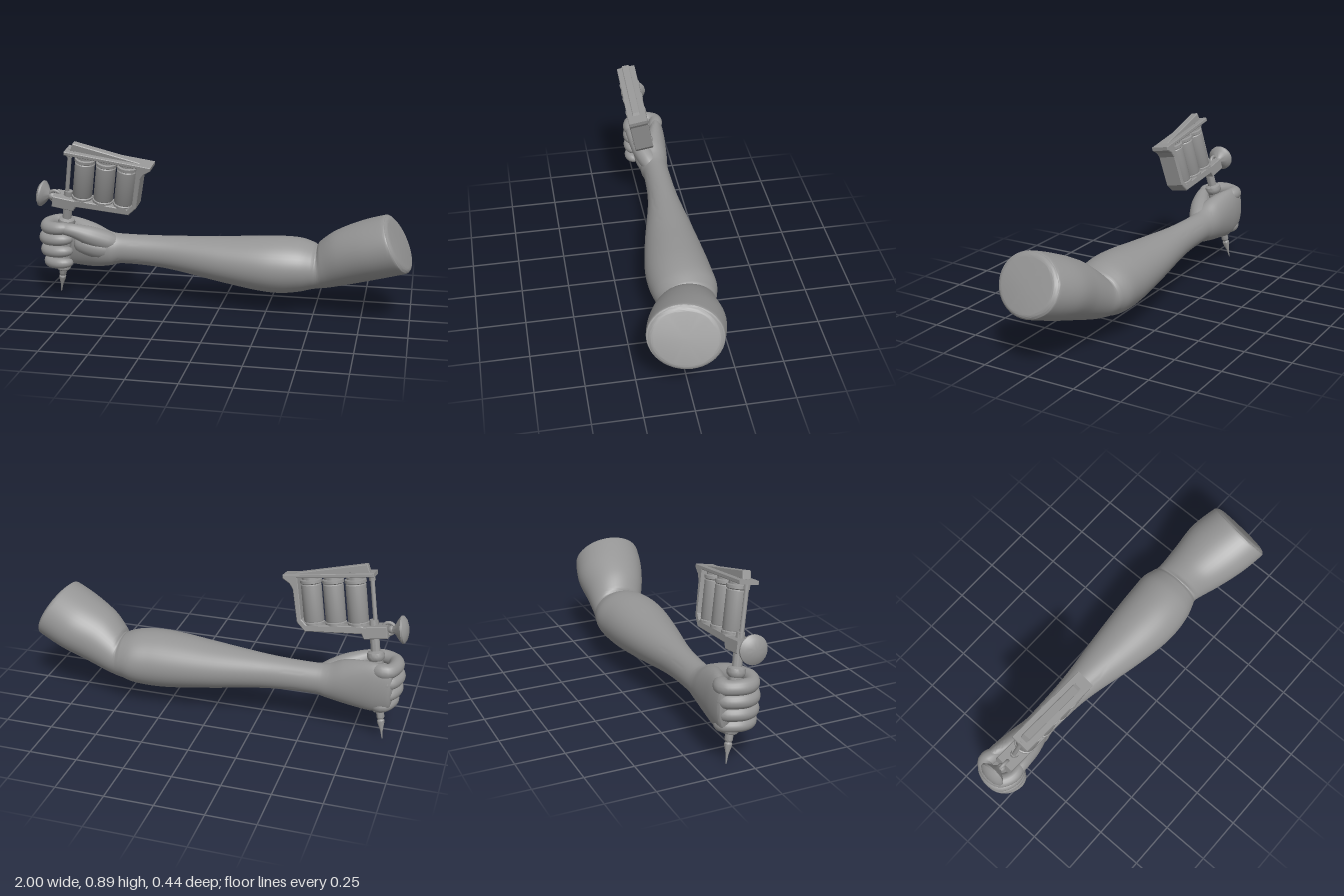
import * as THREE from 'three';
import { mergeVertices, toCreasedNormals } from 'three/addons/utils/BufferGeometryUtils.js';

const material = new THREE.MeshStandardMaterial({ color: 0x959595 });
const V3 = (x, y, z) => new THREE.Vector3(x, y, z);

function add(parent, name, geometry, x = 0, y = 0, z = 0) {
  const mesh = new THREE.Mesh(geometry, material);
  mesh.name = name;
  mesh.position.set(x, y, z);
  parent.add(mesh);
  return mesh;
}

// Smooth skin through oval rings: [x, yTop, yBottom, zBack, zFront, lean of top in x, lean of front in x]
function loft(rings, steps = 8, sides = 48) {
  const curve = (f) => new THREE.CatmullRomCurve3(rings.map(f), false, 'catmullrom', 0.5);
  const centre = curve(([x, t, b, k, f]) => V3(x, (t + b) / 2, (k + f) / 2));
  const up = curve(([, t, b, , , lean = 0]) => V3(lean, (t - b) / 2, 0));
  const out = curve(([, , , k, f, , lean = 0]) => V3(lean, 0, (f - k) / 2));
  const n = (rings.length - 1) * steps;
  const pos = [], index = [];
  for (let i = 0; i <= n; i++) {
    const c = centre.getPoint(i / n), u = up.getPoint(i / n), o = out.getPoint(i / n);
    for (let j = 0; j < sides; j++) {
      const a = (j / sides) * Math.PI * 2;
      const p = c.clone().addScaledVector(o, Math.cos(a)).addScaledVector(u, Math.sin(a));
      pos.push(p.x, p.y, p.z);
    }
  }
  for (let i = 0; i < n; i++) {
    for (let j = 0; j < sides; j++) {
      const k = (j + 1) % sides, a = i * sides, b = a + sides;
      index.push(a + j, b + j, b + k, a + j, b + k, a + k);
    }
  }
  // End caps
  const first = (n + 1) * sides, last = n * sides;
  pos.push(...centre.getPoint(0).toArray(), ...centre.getPoint(1).toArray());
  for (let j = 0; j < sides; j++) {
    const k = (j + 1) % sides;
    index.push(first, j, k, first + 1, last + k, last + j);
  }
  const g = new THREE.BufferGeometry();
  g.setAttribute('position', new THREE.Float32BufferAttribute(pos, 3));
  g.setIndex(index);
  return toCreasedNormals(g, 0.6);
}

// Round-ended tube whose radius varies along the path
function taperedTube(points, radii, segments = 32, sides = 16) {
  const path = new THREE.CatmullRomCurve3(points.map((p) => V3(...p)));
  const size = new THREE.SplineCurve(radii.map((r, i) => new THREE.Vector2(i, r)));
  let g = new THREE.TubeGeometry(path, segments, 1, sides);
  const p = g.attributes.position, v = V3();
  for (let i = 0; i < p.count; i++) {
    const t = Math.floor(i / (sides + 1)) / segments;
    const c = path.getPointAt(t);
    const round = Math.sqrt(Math.max(0, 1 - Math.abs(2 * t - 1) ** 10));
    v.fromBufferAttribute(p, i).sub(c).multiplyScalar(size.getPoint(t).y * round + 0.0005).add(c);
    p.setXYZ(i, v.x, v.y, v.z);
  }
  g.deleteAttribute('uv');
  g.deleteAttribute('normal');
  g = mergeVertices(g, 1e-5);
  g.computeVertexNormals();
  return g;
}

const lathe = (pts, sides = 28) =>
  toCreasedNormals(new THREE.LatheGeometry(pts.map((p) => new THREE.Vector2(...p)), sides), 0.6);

function extrude(pts, depth, bevel = 0.004) {
  const shape = new THREE.Shape(pts.map((p) => new THREE.Vector2(...p)));
  const g = new THREE.ExtrudeGeometry(shape, {
    depth: depth - 2 * bevel, bevelSize: bevel, bevelThickness: bevel, bevelOffset: -bevel, bevelSegments: 1,
  });
  return g.translate(0, 0, -depth / 2 + bevel);
}

function buildArm() {
  const arm = new THREE.Group();
  arm.name = 'arm';

  // One skin from the knuckles over the bent elbow to the cut upper arm
  add(arm, 'armSkin', loft([
    [-0.948, 0.37, 0.24, -0.145, -0.11],
    [-0.93, 0.425, 0.19, -0.165, -0.09],
    [-0.86, 0.437, 0.17, -0.172, -0.07],
    [-0.78, 0.43, 0.167, -0.168, -0.035],
    [-0.69, 0.408, 0.172, -0.16, 0.0],
    [-0.61, 0.372, 0.185, -0.15, 0.005],
    [-0.53, 0.362, 0.2, -0.147, -0.003],
    [-0.3, 0.365, 0.188, -0.155, 0.015],
    [0, 0.38, 0.14, -0.19, 0.08],
    [0.2, 0.395, 0.11, -0.21, 0.115],
    [0.32, 0.4, 0.102, -0.218, 0.12],
    [0.42, 0.393, 0.112, -0.222, 0.108],
    [0.485, 0.372, 0.127, -0.207, 0.088, 0.005],
    [0.517, 0.362, 0.135, -0.197, 0.077, -0.008],
    [0.555, 0.388, 0.147, -0.19, 0.092, -0.03, -0.005],
    [0.65, 0.453, 0.182, -0.185, 0.138, -0.05, -0.015],
    [0.78, 0.515, 0.227, -0.184, 0.188, -0.06, -0.02],
    [0.905, 0.561, 0.272, -0.15, 0.218, -0.066, -0.023],
    [0.926, 0.559, 0.284, -0.136, 0.212, -0.066, -0.023],
    [0.935, 0.548, 0.299, -0.12, 0.2, -0.061, -0.022],
    [0.937, 0.535, 0.313, -0.106, 0.188, -0.055, -0.02],
  ]));

  // Four fingers curled around the grip
  const fingers = [
    ['indexFinger', 0.402, 0.0, 0.038], ['middleFinger', 0.34, -0.01, 0.037],
    ['ringFinger', 0.273, -0.006, 0.035], ['littleFinger', 0.208, 0.008, 0.032],
  ];
  for (const [name, y, dx, r] of fingers) {
    add(arm, name, taperedTube([
      [-0.82, y - 0.008, -0.1], [-0.915 + dx, y, -0.127], [-0.948 + dx, y + 0.002, -0.07],
      [-0.937 + dx, y, 0.0], [-0.88 + dx, y + 0.002, 0.032], [-0.83, y + 0.004, 0.025],
      [-0.805, y + 0.004, -0.005],
    ], [r * 0.85, r * 1.05, r * 0.95, r, r * 0.92, r * 0.88, r * 0.75]));
  }

  add(arm, 'thumb', taperedTube([
    [-0.54, 0.3, -0.07], [-0.63, 0.33, -0.04], [-0.72, 0.367, -0.005],
    [-0.8, 0.397, 0.022], [-0.88, 0.405, 0.032],
  ], [0.035, 0.052, 0.052, 0.037, 0.027]));
  add(arm, 'thumbPad', taperedTube([
    [-0.56, 0.28, -0.07], [-0.66, 0.29, -0.045], [-0.74, 0.31, -0.03], [-0.8, 0.31, -0.035],
  ], [0.04, 0.06, 0.06, 0.045]));
  return arm;
}

// Machine in its own frame: needle tip at the origin, needle along y, coils in a row along x
function buildMachine() {
  const m = new THREE.Group();
  m.name = 'coilMachine';

  add(m, 'needleTip', lathe([
    [0, -0.01], [0.003, 0], [0.007, 0.04], [0.018, 0.08], [0.019, 0.092], [0.014, 0.1], [0.02, 0.11],
    [0.02, 0.15], [0, 0.15],
  ]));
  add(m, 'grip', lathe([
    [0, 0.14], [0.034, 0.142], [0.04, 0.15], [0.04, 0.165], [0.034, 0.175], [0.034, 0.41], [0.043, 0.42],
    [0.046, 0.435], [0.042, 0.452], [0.024, 0.46], [0.024, 0.54], [0.02, 0.62], [0, 0.62],
  ]));

  // Frame: base bar, rear post and flared top corner
  add(m, 'frame', extrude([
    [-0.075, 0.53], [0.045, 0.53], [0.055, 0.557], [0.345, 0.577], [0.382, 0.625], [0.388, 0.795],
    [0.402, 0.825], [0.435, 0.852], [0.435, 0.87], [0.36, 0.862], [0.358, 0.64], [0.335, 0.61],
    [0.055, 0.597], [0.045, 0.592], [-0.075, 0.592],
  ], 0.1));
  add(m, 'topPlate', extrude([[-0.03, 0.842], [0.435, 0.854], [0.435, 0.872], [-0.03, 0.862]], 0.1, 0.003));
  add(m, 'springWedge', extrude([[-0.005, 0.86], [0.39, 0.868], [0.36, 0.875], [0.05, 0.9], [0.005, 0.904]], 0.042));

  // Three wound coils with flanges
  const coil = lathe([
    [0, 0], [0.055, 0], [0.055, 0.012], [0.049, 0.016], [0.052, 0.022], [0.052, 0.205], [0.048, 0.21],
    [0.055, 0.215], [0.055, 0.23], [0.045, 0.234], [0.045, 0.255], [0, 0.255],
  ]);
  [0.075, 0.19, 0.303].forEach((x, i) => add(m, `coil${i + 1}`, coil, x, 0.597 + i * 0.004, 0));

  // Front contact rod with its nuts
  add(m, 'contactRod', new THREE.CylinderGeometry(0.011, 0.011, 0.29, 14), -0.01, 0.72, 0);
  for (const y of [0.605, 0.83]) add(m, 'rodNut', new THREE.CylinderGeometry(0.017, 0.017, 0.025, 6), -0.01, y, 0);

  // Clamp and adjusting knob
  add(m, 'clampRing', new THREE.TorusGeometry(0.03, 0.009, 10, 24), -0.075, 0.572, 0);
  add(m, 'clampScrew', new THREE.CylinderGeometry(0.012, 0.012, 0.1, 14), -0.095, 0.567, 0).rotation.z = Math.PI / 2;
  add(m, 'clampBall', new THREE.SphereGeometry(0.021, 18, 12), -0.09, 0.567, 0);
  add(m, 'knob', lathe([
    [0, -0.04], [0.014, -0.04], [0.024, -0.026], [0.055, -0.006], [0.07, 0.008], [0.07, 0.018],
    [0.052, 0.031], [0.025, 0.039], [0, 0.041],
  ]), -0.135, 0.567, -0.008).rotation.z = Math.PI / 2;

  // Lean the machine over the hand
  const x = V3(0.986, -0.168, 0), y = V3(0.164, 0.966, 0.185).normalize();
  const z = x.clone().cross(y).normalize();
  m.quaternion.setFromRotationMatrix(new THREE.Matrix4().makeBasis(y.clone().cross(z), y, z));
  m.position.set(-0.91, 0.01, -0.105);
  return m;
}

export function createModel() {
  const model = new THREE.Group();
  model.name = 'armHoldingMachine';
  model.add(buildArm(), buildMachine());
  return model;
}
